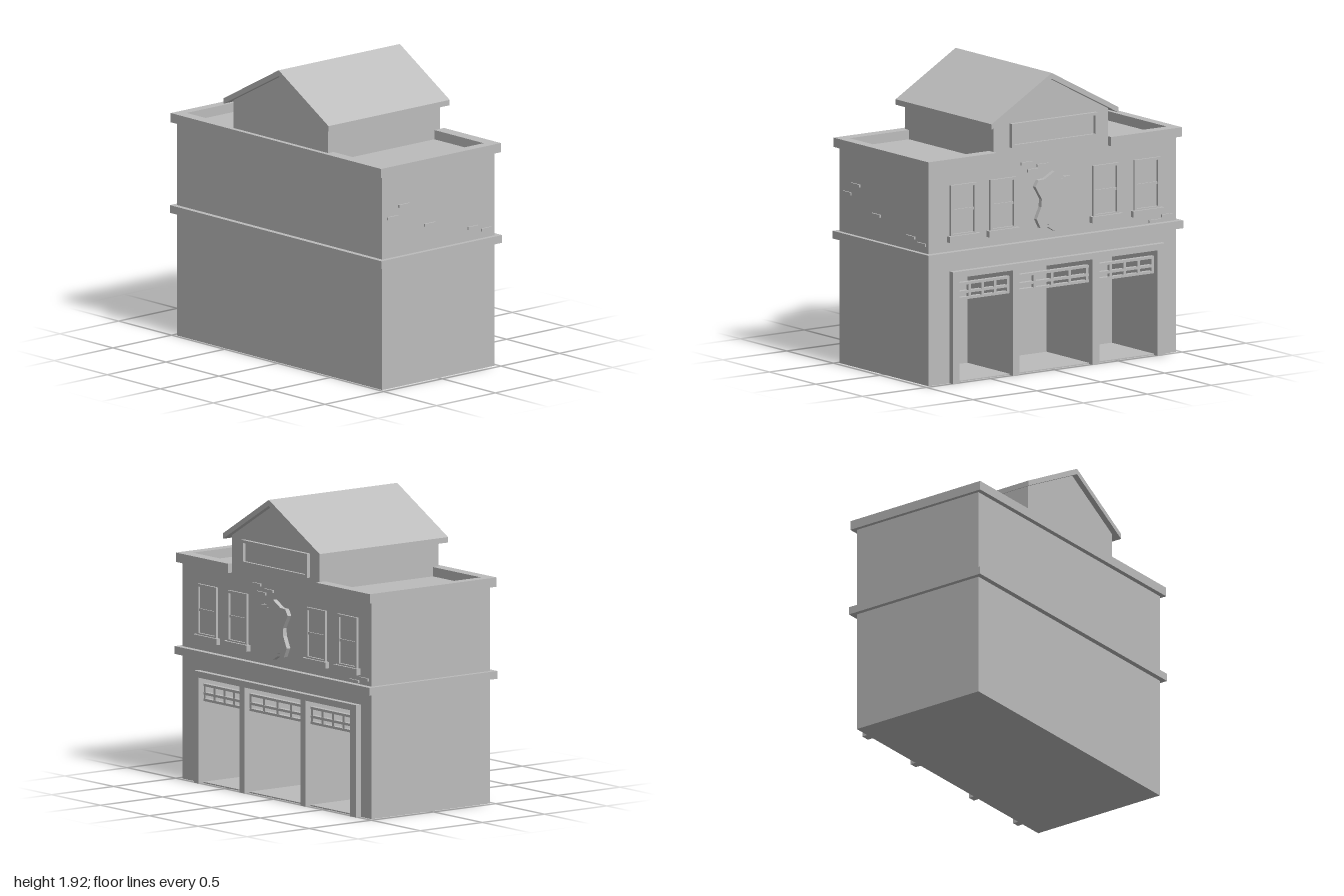
import * as THREE from 'three';

export function createModel() {
  const model = new THREE.Group();
  model.name = 'twoStoreyStation';
  const stone = new THREE.MeshStandardMaterial({ color: 0xbcbcbc });
  stone.name = 'grey stone';

  const add = (name, geometry, parent = model) => {
    const mesh = new THREE.Mesh(geometry, stone);
    mesh.name = name;
    parent.add(mesh);
    return mesh;
  };
  // Box given by its limits on each axis
  const box = (name, x0, x1, y0, y1, z0, z1, parent) => {
    const g = new THREE.BoxGeometry(x1 - x0, y1 - y0, z1 - z0);
    g.translate((x0 + x1) / 2, (y0 + y1) / 2, (z0 + z1) / 2);
    return add(name, g, parent);
  };
  const toShape = (pts) => new THREE.Shape(pts.map(([x, y]) => new THREE.Vector2(x, y)));
  const rect = (x0, x1, y0, y1) => toShape([[x0, y0], [x1, y0], [x1, y1], [x0, y1]]);
  // Prism of an x-y outline between two depths
  const prism = (name, shape, z0, z1, parent) => {
    const g = new THREE.ExtrudeGeometry(shape, { depth: z1 - z0, bevelEnabled: false });
    g.translate(0, 0, z0);
    return add(name, g, parent);
  };

  const L = -0.97, R = 0.965, back = -0.475, front = 0.48, bayEnd = -0.02;
  const bays = [[-0.8, -0.345], [-0.29, 0.28], [0.33, 0.75]];

  // Main body: solid half and half pierced by three vehicle bays
  box('solidBody', L, R, 0, 1.39, bayEnd, front);
  const wall = rect(L, R, 0, 1.39);
  for (const [a, b] of bays) wall.holes.push(rect(a, b, 0.008, 0.68));
  prism('bayBody', wall, back, bayEnd);

  // String course between the storeys
  box('stringCourse', -1, 0.995, 0.8, 0.85, -0.515, 0.515);

  // Parapet, broken by the gable on the bay side
  const parapet = new THREE.Group();
  parapet.name = 'parapet';
  model.add(parapet);
  box('parapetFront', -0.995, 0.99, 1.39, 1.45, 0.435, 0.512, parapet);
  box('parapetRight', -0.995, -0.93, 1.39, 1.45, -0.508, 0.435, parapet);
  box('parapetLeft', 0.92, 0.99, 1.39, 1.45, -0.508, 0.435, parapet);
  box('parapetBackRight', -0.93, -0.44, 1.39, 1.45, -0.508, -0.43, parapet);
  box('parapetBackLeft', 0.455, 0.92, 1.39, 1.45, -0.508, -0.425, parapet);

  // Gabled attic and its pitched roof
  prism('attic', toShape([[-0.44, 1.38], [0.455, 1.38], [0.455, 1.64], [0.03, 1.885], [-0.44, 1.635]]), back, front);
  prism('pitchedRoof', toShape([[-0.49, 1.605], [0.03, 1.88], [0.5, 1.605], [0.5, 1.64], [0.03, 1.918], [-0.49, 1.64]]), -0.515, 0.518);

  // Bay posts and lintel
  for (const [a, b] of [[-0.86, -0.8], [-0.345, -0.29], [0.28, 0.33], [0.75, 0.8]]) {
    box('bayPost', a, b, 0, 0.68, -0.513, back);
  }
  box('bayLintel', -0.86, 0.8, 0.68, 0.72, -0.513, back);

  // Transom lattice in each bay
  for (const [a, b] of bays) {
    for (const y of [0.535, 0.575, 0.63]) box('transomRail', a, b, y - 0.008, y + 0.008, -0.475, -0.445);
    for (let i = 0; i <= 4; i++) {
      const x = a + 0.01 + (b - a - 0.02) * i / 4;
      box('transomMullion', x - 0.01, x + 0.01, 0.535, 0.63, -0.472, -0.45);
    }
  }

  // Sash windows with sills
  for (const x of [-0.737, -0.415, 0.39, 0.7]) {
    const w = new THREE.Group();
    w.name = 'window';
    model.add(w);
    const frame = rect(x - 0.1, x + 0.1, 0.95, 1.275);
    frame.holes.push(rect(x - 0.083, x + 0.083, 0.96, 1.258));
    prism('windowFrame', frame, -0.49, back, w);
    box('sashBar', x - 0.083, x + 0.083, 1.1, 1.117, -0.484, back, w);
    box('windowSill', x - 0.12, x + 0.12, 0.91, 0.95, -0.505, back, w);
  }

  // Shield plaque: raised rim around a flat panel
  const half = [[0, 1.28], [0.075, 1.238], [0.125, 1.235], [0.15, 1.195], [0.1, 1.11], [0.105, 1.06], [0.14, 0.985], [0.11, 0.925], [0.05, 0.925], [0, 0.895]];
  const outline = [...half, ...half.slice(1, -1).reverse().map(([x, y]) => [-x, y])];
  const rim = toShape(outline);
  const inner = outline.map(([x, y]) => [x * 0.86, 1.09 + (y - 1.09) * 0.89]);
  rim.holes.push(toShape(inner));
  prism('shieldRim', rim, -0.505, back);
  prism('shieldPanel', toShape(inner), -0.49, back);

  // Blank sign board on the gable
  const sign = rect(-0.34, 0.33, 1.465, 1.62);
  sign.holes.push(rect(-0.322, 0.312, 1.483, 1.602));
  prism('signFrame', sign, -0.5, back);
  box('signPanel', -0.322, 0.312, 1.483, 1.602, -0.482, back);

  // Raised bricks scattered on the walls
  for (const [z, y] of [[0.3, 1.175], [0.395, 1.11], [0.08, 1.015], [-0.29, 0.933], [-0.405, 0.904]]) {
    box('sideBrick', R, 0.976, y - 0.009, y + 0.009, z - 0.045, z + 0.045);
  }
  for (const [x, y] of [[0.2, 1.35], [0.15, 1.3], [0.075, 1.325], [-0.8, 0.865], [-0.9, 0.89]]) {
    box('facadeBrick', x - 0.045, x + 0.045, y - 0.009, y + 0.009, -0.486, back);
  }
  return model;
}
